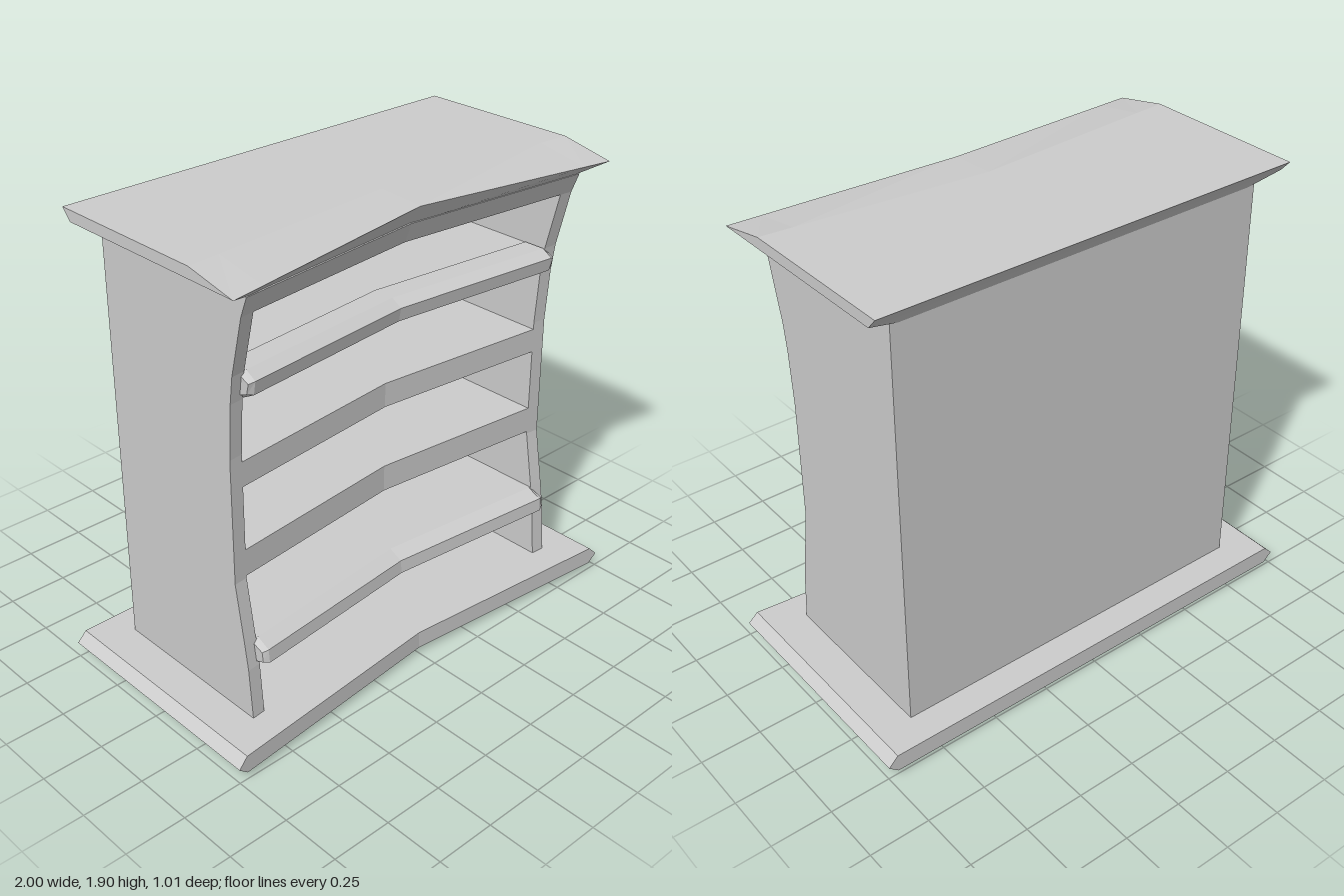
import * as THREE from 'three';

const material = new THREE.MeshStandardMaterial({ color: 0xcccccc, flatShading: true });

// Skins cross-sections { x, pts: [[z, y], ...] } (counter-clockwise in z, y), ordered by rising x.
function loft(name, sections, caps = true) {
  const n = sections[0].pts.length;
  const pos = sections.flatMap((s) => s.pts.flatMap(([z, y]) => [s.x, y, z]));
  const index = [];
  for (let i = 0; i < sections.length - 1; i++) {
    for (let j = 0; j < n; j++) {
      const k = (j + 1) % n;
      const a = i * n + j, b = i * n + k, c = b + n, d = a + n;
      index.push(a, d, c, a, c, b);
    }
  }
  if (caps) {
    for (const i of [0, sections.length - 1]) {
      const ring = sections[i].pts.map(([z, y]) => new THREE.Vector2(z, y));
      for (const [a, b, c] of THREE.ShapeUtils.triangulateShape(ring, [])) {
        index.push(...(i === 0 ? [a, b, c] : [c, b, a]).map((v) => v + i * n));
      }
    }
  }
  const indexed = new THREE.BufferGeometry();
  indexed.setAttribute('position', new THREE.Float32BufferAttribute(pos, 3));
  indexed.setIndex(index);
  const geometry = indexed.toNonIndexed();
  geometry.computeVertexNormals();
  const mesh = new THREE.Mesh(geometry, material);
  mesh.name = name;
  return mesh;
}

// Front curve of the cabinet at its outer edge: [z, y]
const FRONT = [[0.355, 0.09], [0.337, 0.31], [0.32, 0.42], [0.28, 0.66], [0.28, 1.17],
  [0.295, 1.39], [0.31, 1.5], [0.368, 1.735], [0.4, 1.815]];
const BACK = -0.38, INNER_BACK = -0.35, INNER = 0.755, OUTER = 0.812;

function frontZ(y) {
  let i = 0;
  while (i < FRONT.length - 2 && FRONT[i + 1][1] < y) i++;
  const [z0, y0] = FRONT[i], [z1, y1] = FRONT[i + 1];
  return z0 + (z1 - z0) * (y - y0) / (y1 - y0);
}

// The whole front bows inward towards x = 0
const bow = (x) => 0.08 * (1 - Math.abs(x) / OUTER);
const bowed = (pts, x) => ({ x, pts: pts.map(([z, y]) => [z > 0 ? z - bow(x) : z, y]) });

export function createModel() {
  const group = new THREE.Group();

  // Base: pointed ends, shallow bevel underneath
  const baseSection = (x) => {
    const a = Math.abs(x);
    const front = 0.41 + 0.09 * a;
    const tip = a === 1, edge = a >= 0.96;
    const top = tip ? 0.06 : 0.1, low = tip ? 0.06 : 0.025;
    const floor = edge ? low : 0;
    const floorFront = edge ? front : 0.28 + 0.1 * a;
    const floorBack = edge ? -0.508 : -0.38;
    return { x, pts: [[floorBack, floor], [floorFront, floor], [front, low],
      [front, top], [-0.508, top], [-0.508, low]] };
  };
  group.add(loft('base', [-1, -0.96, -0.76, 0, 0.76, 0.96, 1].map(baseSection), false));

  // Side panels
  const sidePts = [[BACK, 0.09], ...FRONT, [BACK, 1.815]];
  group.add(loft('rightSide', [-OUTER, -INNER].map((x) => bowed(sidePts, x))));
  group.add(loft('leftSide', [INNER, OUTER].map((x) => bowed(sidePts, x))));

  // Back panel
  const back = new THREE.Mesh(new THREE.BoxGeometry(2 * INNER, 1.725, INNER_BACK - BACK), material);
  back.position.set(0, 0.9525, (BACK + INNER_BACK) / 2);
  back.name = 'backPanel';
  group.add(back);

  // Shelves and the top rail, their fronts following the cabinet curve
  const boards = [['lowerShelf', 0.32, 0.415], ['lowerMiddleShelf', 0.67, 0.78],
    ['upperMiddleShelf', 1.04, 1.14], ['upperShelf', 1.4, 1.495], ['topRail', 1.735, 1.815]];
  for (const [name, y0, y1] of boards) {
    const pts = [[INNER_BACK, y0], [frontZ(y0), y0], [frontZ(y1), y1], [INNER_BACK, y1]];
    group.add(loft(name, [-INNER, 0, INNER].map((x) => bowed(pts, x))));
  }

  // Projecting shelf noses with chamfered ends
  const noses = [
    ['lowerNose', [[0.25, 0.31], [0.335, 0.31], [0.385, 0.335], [0.38, 0.39], [0.32, 0.418], [0.25, 0.418]]],
    ['upperNose', [[0.22, 1.39], [0.29, 1.39], [0.345, 1.42], [0.355, 1.475], [0.31, 1.502], [0.22, 1.502]]],
  ];
  for (const [name, pts] of noses) {
    const midY = (pts[0][1] + pts[5][1]) / 2;
    const end = pts.map(([z, y]) => [z - 0.012, midY + (y - midY) * 0.75]);
    group.add(loft(name, [bowed(end, -0.768), bowed(pts, -0.745), bowed(pts, 0),
      bowed(pts, 0.745), bowed(end, 0.768)]));
  }

  // Overhanging roof: sloped front lip rising at the middle, undercut edges
  const roofSection = (x) => {
    const t = Math.abs(x) / 0.912;
    const tipZ = 0.36 + 0.1 * t, tipY = 1.89 - 0.035 * t;
    const under = t === 1 ? [[-0.415, 1.855], [tipZ, tipY]] : [[BACK, 1.81], [0.31 + 0.09 * t, 1.81]];
    return { x, pts: [...under, [tipZ, tipY], [0.165 + 0.075 * t, 1.9], [-0.455, 1.9], [-0.415, 1.855]] };
  };
  group.add(loft('roof', [-0.912, -0.78, 0, 0.78, 0.912].map(roofSection)));

  return group;
}
